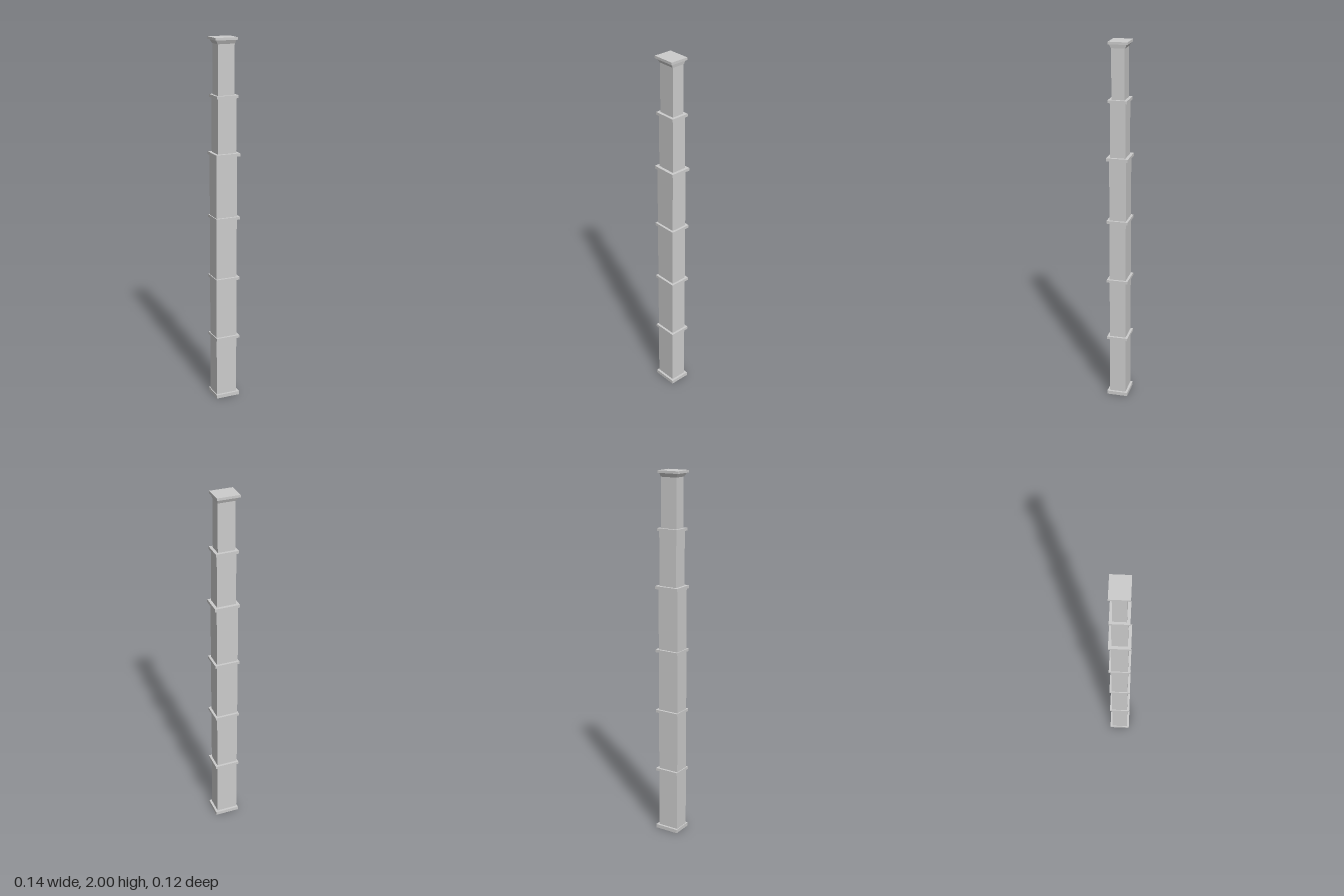
import * as THREE from 'three';

const material = new THREE.MeshStandardMaterial({ color: 0xcccccc, flatShading: true });

function add(group, name, geometry) {
  const mesh = new THREE.Mesh(geometry, material);
  mesh.name = name;
  group.add(mesh);
}

// Box given by its limits, with z symmetric about zd
function block(x0, x1, y0, y1, hz, zd = 0) {
  return new THREE.BoxGeometry(x1 - x0, y1 - y0, hz * 2)
    .translate((x0 + x1) / 2, (y0 + y1) / 2, zd);
}

// Rectangular outline in the ground plane
function outline(PathType, x0, x1, hz) {
  return new PathType([[x0, -hz], [x1, -hz], [x1, hz], [x0, hz]].map(p => new THREE.Vector2(...p)));
}

// Trim collar wrapped around a shaft
function collar(outer, inner, y0, y1) {
  const shape = outline(THREE.Shape, ...outer);
  shape.holes.push(outline(THREE.Path, ...inner));
  return new THREE.ExtrudeGeometry(shape, { depth: y1 - y0, bevelEnabled: false })
    .rotateX(-Math.PI / 2).translate(0, y0, 0);
}

// Block whose lower half is drawn in to a smaller rectangle
function flare(bottom, top, y0, y1) {
  const g = block(top[0], top[1], y0, y1, top[2]);
  const p = g.attributes.position;
  const mid = (y0 + y1) / 2;
  for (let i = 0; i < p.count; i++) {
    if (p.getY(i) > mid) continue;
    p.setX(i, p.getX(i) < 0 ? bottom[0] : bottom[1]);
    p.setZ(i, Math.sign(p.getZ(i)) * bottom[2]);
  }
  g.computeVertexNormals();
  return g;
}

export function createModel() {
  const model = new THREE.Group();
  model.name = 'column';

  // Each section: left x, right x, half depth
  const lower = [-0.064, 0.055, 0.045];
  const middle = [-0.053, 0.052, 0.041];
  const upper = [-0.049, 0.044, 0.035];
  const wide = [-0.069, 0.068, 0.058];
  const narrow = [-0.062, 0.06, 0.051];

  // Stepped shaft
  for (const [name, s, y0, y1] of [
    ['lowerShaft', lower, 0.004, 1.39],
    ['middleShaft', middle, 1.385, 1.695],
    ['upperShaft', upper, 1.69, 1.97],
  ]) add(model, name, block(s[0], s[1], y0, y1, s[2]));

  // Collars at every joint
  add(model, 'baseCollar', collar(wide, lower, 0, 0.02));
  for (const y of [0.35, 0.695, 1.038]) add(model, 'collar', collar(wide, lower, y, y + 0.015));
  add(model, 'shoulderCollar', collar(wide, middle, 1.384, 1.4));
  add(model, 'upperCollar', collar(narrow, upper, 1.69, 1.705));

  // Capital: flared moulding under a flat plate
  add(model, 'capitalMoulding', flare([-0.051, 0.045, 0.036], [-0.063, 0.048, 0.046], 1.967, 1.988));
  add(model, 'capitalPlate', block(-0.069, 0.054, 1.987, 2, 0.051));

  return model;
}
